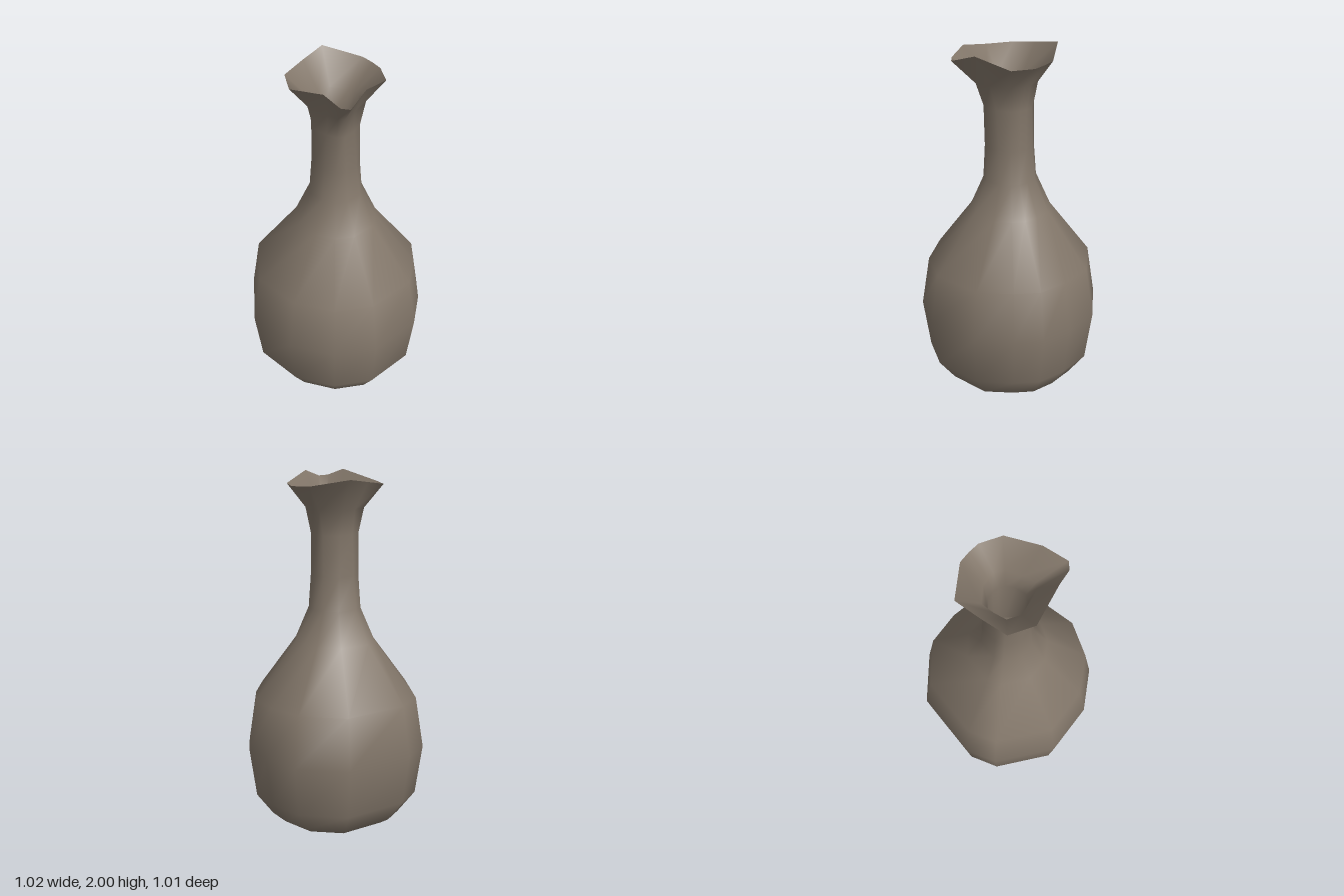
import * as THREE from 'three';

// Outlines in x, z, both running from the front round through +x
const bodyOutline = [
  [0.13, 0.505], [0.40, 0.33], [0.48, 0.12], [0.51, -0.04], [0.445, -0.215], [0.32, -0.40],
  [0.04, -0.51], [-0.34, -0.38], [-0.465, -0.24], [-0.51, 0.12], [-0.34, 0.38], [-0.11, 0.505],
];
// Flared rim pulled into a pouring lip at the front: x, z, y
const rimOutline = [
  [0.01, 0.325, 1.955], [0.11, 0.225, 2.0], [0.25, 0.07, 1.95], [0.25, -0.06, 1.95],
  [0.22, -0.12, 1.955], [0.18, -0.18, 1.96], [-0.02, -0.275, 2.0], [-0.14, -0.185, 1.975],
  [-0.255, -0.09, 1.95], [-0.255, 0.06, 1.95], [-0.11, 0.23, 2.0], [-0.04, 0.31, 1.96],
];
const SIDES = bodyOutline.length;

// One cross-section; blend goes from the body outline (0) to the rim outline (1)
function ring(y, radius, blend = 0, z = 0) {
  return bodyOutline.map(([bx, bz], i) => {
    const [rx, rz] = rimOutline[i];
    return [
      radius * THREE.MathUtils.lerp(bx / 0.51, rx / 0.255, blend),
      y,
      z + radius * THREE.MathUtils.lerp(bz / 0.51, rz / 0.255, blend),
    ];
  });
}

// Smooth skin through a stack of cross-sections
function loft(rings) {
  const index = [];
  for (let r = 0; r < rings.length - 1; r++) {
    for (let i = 0; i < SIDES; i++) {
      const j = (i + 1) % SIDES;
      const a = r * SIDES + i, b = r * SIDES + j;
      index.push(a, b, b + SIDES, a, b + SIDES, a + SIDES);
    }
  }
  const geometry = new THREE.BufferGeometry();
  geometry.setAttribute('position', new THREE.Float32BufferAttribute(rings.flat(2), 3));
  geometry.setIndex(index);
  geometry.computeVertexNormals();
  return geometry;
}

export function createModel() {
  const clay = new THREE.MeshStandardMaterial({ color: 0x83776a });
  clay.name = 'brown clay';
  const group = new THREE.Group();
  group.name = 'jug';
  const rim = rimOutline.map(([x, z, y]) => [x, y, z]);

  // Base, round belly, shoulder, neck and flare
  const outer = new THREE.Mesh(loft([
    ring(0.005, 0), ring(0.005, 0.32), ring(0.04, 0.375), ring(0.17, 0.47), ring(0.46, 0.51),
    ring(0.75, 0.465), ring(1.07, 0.23), ring(1.26, 0.148), ring(1.45, 0.133, 0.2),
    ring(1.68, 0.13, 0.5), ring(1.82, 0.156, 0.9), rim,
  ]), clay);
  outer.name = 'outerWall';

  // Funnel mouth, narrow throat and hollow belly
  const inner = new THREE.Mesh(loft([
    rim, ring(1.82, 0.13, 0.8), ring(1.68, 0.105, 0.2), ring(1.25, 0.105),
    ring(1.05, 0.19), ring(0.74, 0.42), ring(0.45, 0.465), ring(0.17, 0.42),
    ring(0.06, 0.3), ring(0.06, 0),
  ]), clay);
  inner.name = 'innerWall';

  group.add(outer, inner);
  return group;
}
